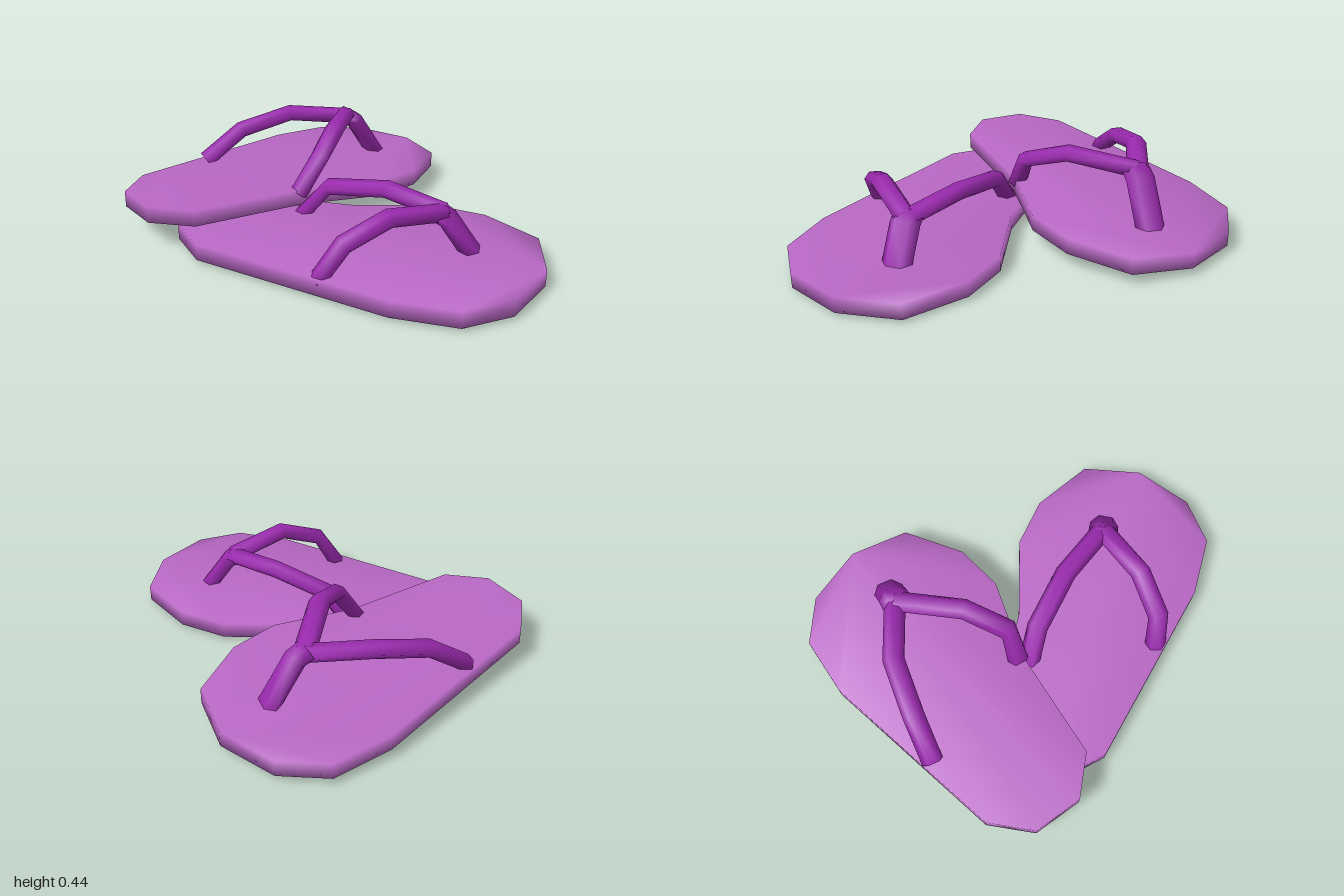
import * as THREE from 'three';

// Sole outline: [along the outer edge towards the toe, across towards the inner edge]
const OUTLINE = [
  [0, 0], [0.985, 0], [1.281, 0.074], [1.433, 0.268], [1.466, 0.571], [1.338, 0.842],
  [1.032, 0.952], [0.777, 0.931], [0.419, 0.729], [-0.136, 0.566], [-0.259, 0.371], [-0.204, 0.128],
];
const TOE = 4; // outline corner the top face fans out from

function buildGeometry(positions, index) {
  const g = new THREE.BufferGeometry();
  g.setAttribute('position', new THREE.Float32BufferAttribute(positions, 3));
  g.setIndex(index);
  g.computeVertexNormals();
  return g;
}

// Slab with a flat top and a slightly rounded underside
function soleGeometry({ origin, along, across, topY, mirrored }) {
  const n = OUTLINE.length, pos = [], idx = [];
  const tri = (a, b, c) => (mirrored ? idx.push(a, c, b) : idx.push(a, b, c));
  const rings = [[1, 0], [1, 0.08], [0.6, 0.097]]; // [scale, depth below the top]
  for (const [s, depth] of rings) {
    for (const [u0, v0] of OUTLINE) {
      const u = 0.6 + (u0 - 0.6) * s, v = 0.46 + (v0 - 0.46) * s;
      const x = origin[0] + along[0] * u + across[0] * v;
      const z = origin[1] + along[1] * u + across[1] * v;
      pos.push(x, topY(x, z) - depth, z);
    }
  }
  for (let r = 0; r < 2; r++) {
    for (let i = 0; i < n; i++) {
      const j = (i + 1) % n, a = r * n + i, b = r * n + j;
      tri(a, a + n, b);
      tri(b, a + n, b + n);
    }
  }
  for (let k = 1; k < n - 1; k++) {
    const i = (TOE + k) % n, j = (TOE + k + 1) % n;
    tri(TOE, i, j);
    tri(2 * n + TOE, 2 * n + j, 2 * n + i);
  }
  return buildGeometry(pos, idx);
}

// Six-sided band swept along a few points
function strapGeometry(points, width, height) {
  const sides = 6, pos = [], idx = [];
  const p = points.map((q) => new THREE.Vector3(...q));
  const up = new THREE.Vector3(0, 1, 0);
  const last = p.length - 1;
  p.forEach((c, i) => {
    const t = p[Math.min(i + 1, last)].clone().sub(p[Math.max(i - 1, 0)]).normalize();
    const side = t.clone().cross(up).normalize();
    const nrm = t.clone().cross(side);
    for (let k = 0; k < sides; k++) {
      const a = (k / sides) * Math.PI * 2;
      const v = c.clone().addScaledVector(side, Math.cos(a) * width).addScaledVector(nrm, Math.sin(a) * height);
      pos.push(v.x, v.y, v.z);
    }
  });
  for (let i = 0; i < last; i++) {
    for (let k = 0; k < sides; k++) {
      const a = i * sides + k, b = i * sides + ((k + 1) % sides);
      idx.push(a, b, a + sides, b, b + sides, a + sides);
    }
  }
  const e = last * sides;
  for (let k = 1; k < sides - 1; k++) idx.push(0, k + 1, k, e, e + k, e + k + 1);
  return buildGeometry(pos, idx);
}

const SANDALS = [
  {
    name: 'frontSandal',
    sole: {
      origin: [-0.58, 0.52], along: [0.904, 0.427], across: [0.427, -0.904],
      topY: () => 0.097, mirrored: false,
    },
    outerStrap: [[0.0, 0.07, 0.745], [0.11, 0.24, 0.735], [0.30, 0.32, 0.63], [0.54, 0.265, 0.44]],
    innerStrap: [[-0.14, 0.07, 0.11], [0.0, 0.24, 0.14], [0.28, 0.29, 0.26], [0.54, 0.265, 0.43]],
    toePost: [[0.51, 0.27, 0.435], [0.56, 0.24, 0.44], [0.68, 0.07, 0.455]],
  },
  {
    name: 'rearSandal',
    sole: {
      origin: [-0.97, -0.03], along: [0.602, -0.798], across: [0.798, 0.602],
      topY: (x, z) => 0.182 + 0.07 * z - 0.01 * x, mirrored: true,
    },
    outerStrap: [[-0.70, 0.17, -0.31], [-0.52, 0.31, -0.41], [-0.27, 0.37, -0.53], [0.04, 0.35, -0.565]],
    innerStrap: [[-0.16, 0.16, 0.06], [-0.06, 0.33, 0.0], [0.0, 0.405, -0.22], [0.03, 0.36, -0.56]],
    toePost: [[0.02, 0.36, -0.55], [0.07, 0.33, -0.58], [0.19, 0.11, -0.65]],
  },
];

export function createModel() {
  const soleMat = new THREE.MeshStandardMaterial({ color: 0xb868c4 });
  soleMat.name = 'lilac sole';
  const strapMat = new THREE.MeshStandardMaterial({ color: 0x9a2aae });
  strapMat.name = 'purple strap';

  const model = new THREE.Group();
  model.name = 'flipFlops';
  for (const s of SANDALS) {
    const sandal = new THREE.Group();
    sandal.name = s.name;
    const add = (name, geometry, material) => {
      const mesh = new THREE.Mesh(geometry, material);
      mesh.name = name;
      sandal.add(mesh);
    };
    add('sole', soleGeometry(s.sole), soleMat);
    add('outerStrap', strapGeometry(s.outerStrap, 0.053, 0.04), strapMat);
    add('innerStrap', strapGeometry(s.innerStrap, 0.053, 0.04), strapMat);
    add('toePost', strapGeometry(s.toePost, 0.075, 0.045), strapMat);
    model.add(sandal);
  }
  return model;
}
